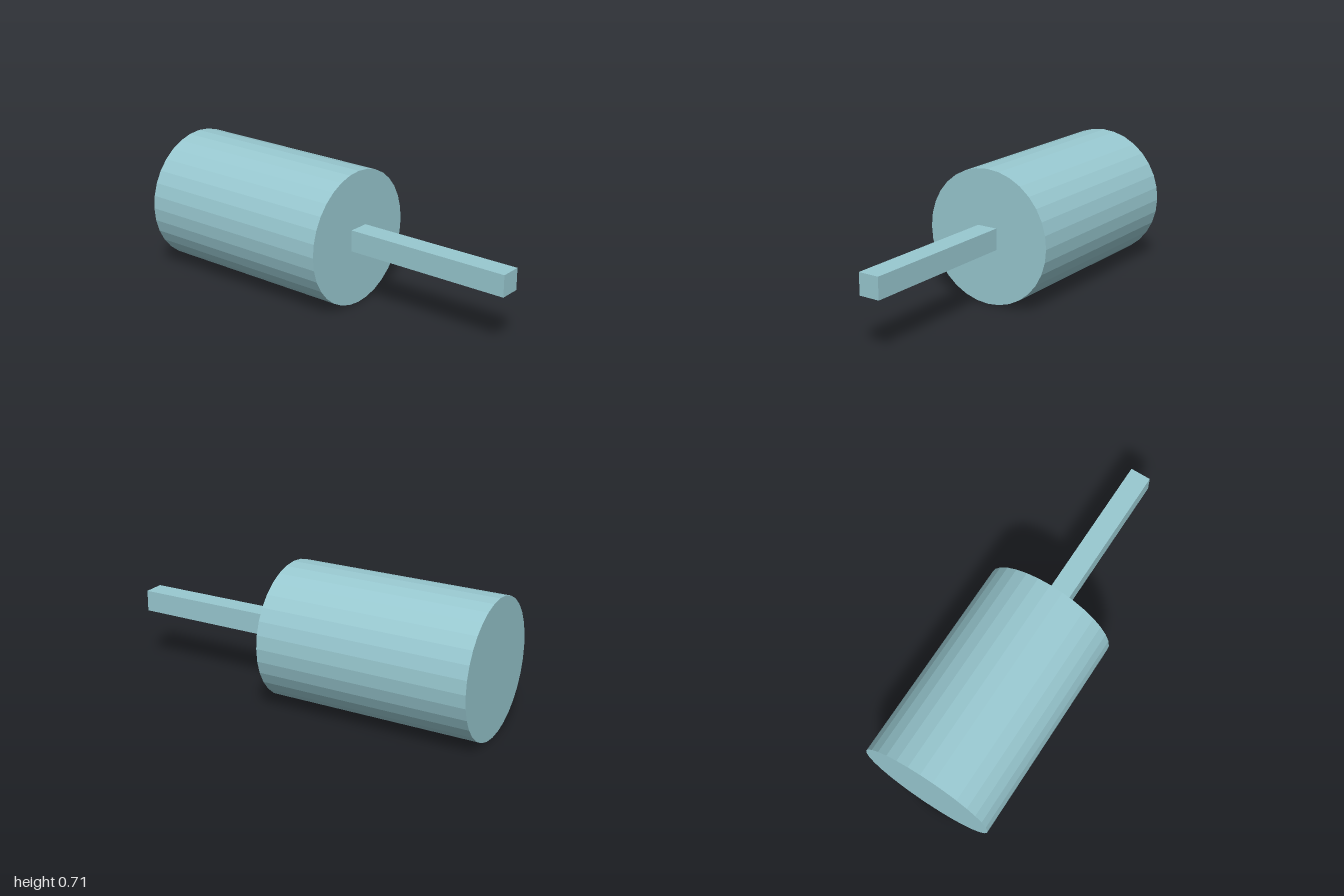
import * as THREE from 'three';

export function createModel() {
  const model = new THREE.Group();
  model.name = 'mallet';

  const paleTeal = new THREE.MeshStandardMaterial({ color: 0x98c8d0 });
  paleTeal.name = 'paleTeal';
  paleTeal.flatShading = true;

  const radius = 0.353;
  const joint = 0.11; // x where the drum ends and the square shaft begins

  // Faceted drum lying along x
  const drumGeometry = new THREE.CylinderGeometry(radius, radius, joint + 1, 32);
  drumGeometry.rotateZ(-Math.PI / 2);
  const drum = new THREE.Mesh(drumGeometry, paleTeal);
  drum.name = 'drum';
  drum.position.set((joint - 1) / 2, radius, 0);

  // Square shaft on the drum's axis
  const shaft = new THREE.Mesh(new THREE.BoxGeometry(1 - joint, 0.112, 0.112), paleTeal);
  shaft.name = 'shaft';
  shaft.position.set((joint + 1) / 2, radius, 0);

  model.add(drum, shaft);
  return model;
}
